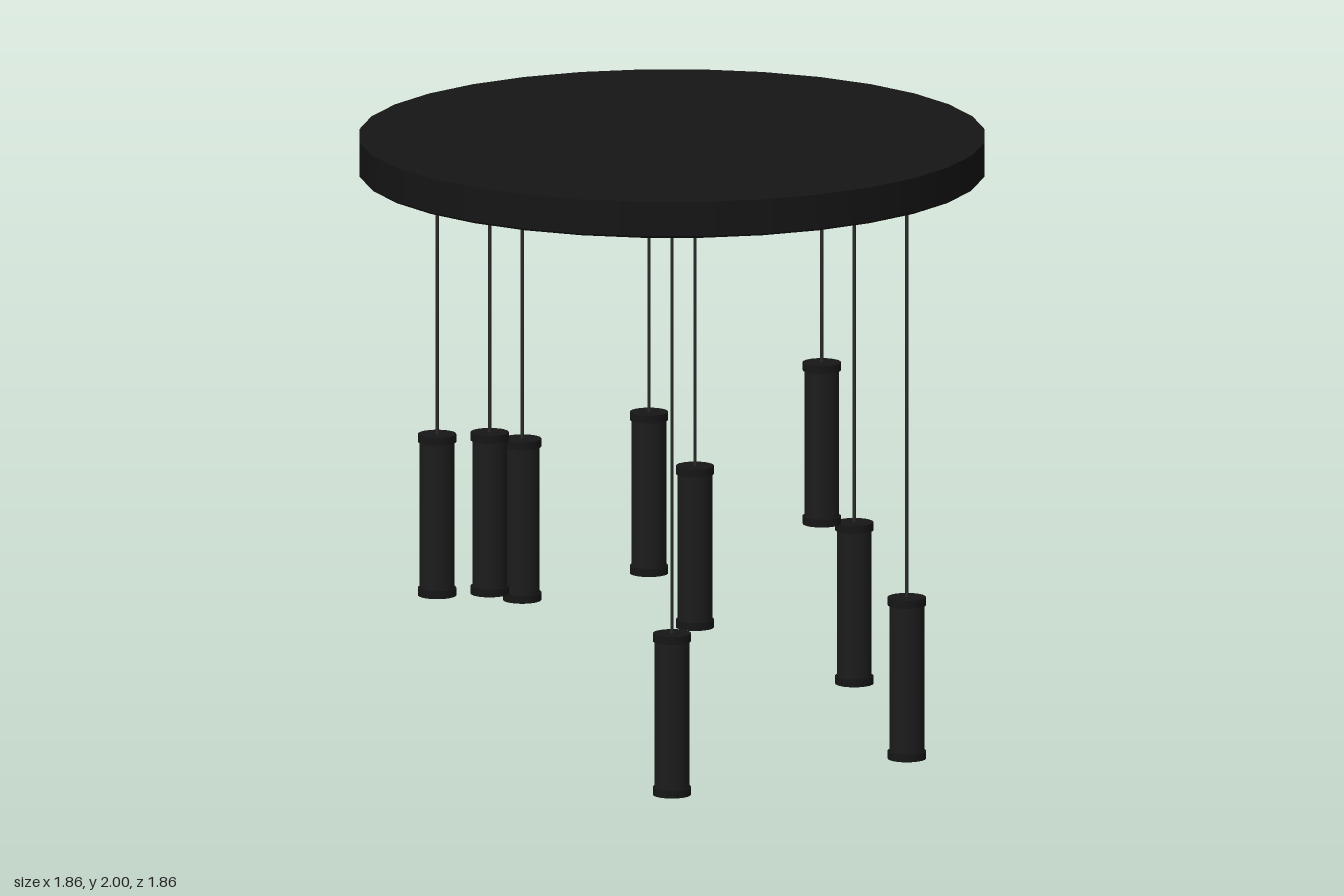
import * as THREE from 'three';

const paint = (color) => new THREE.MeshStandardMaterial({ color });

export function createModel() {
  const model = new THREE.Group();
  model.name = 'pendantCluster';

  const canopyBlack = paint(0x151515);
  const bodyBlack = paint(0x1c1c1c);
  const trimBlack = paint(0x161616);
  const buttonGrey = paint(0x262626);
  const cordGrey = paint(0x2a2a2a);

  const canopyBottom = 1.89;
  const lampLength = 0.49;
  const collarHeight = 0.024;

  const add = (parent, name, geometry, material, y) => {
    const mesh = new THREE.Mesh(geometry, material);
    mesh.name = name;
    mesh.position.y = y;
    parent.add(mesh);
  };

  // Ceiling canopy: a thick disc with a small chamfer under its rim
  add(model, 'canopy', new THREE.CylinderGeometry(0.932, 0.932, 0.104, 32), canopyBlack, 1.948);
  add(model, 'canopyChamfer', new THREE.CylinderGeometry(0.932, 0.926, 0.006, 32), canopyBlack, 1.893);

  // Shapes shared by all the lamps
  const buttonGeo = new THREE.CylinderGeometry(0.057, 0.057, 0.016, 24);
  const collarGeo = new THREE.CylinderGeometry(0.057, 0.057, collarHeight, 24);
  const bodyGeo = new THREE.CylinderGeometry(0.052, 0.052, lampLength - 2 * collarHeight, 24, 1, true);

  // One lamp on its cord, hung with its top at the given height
  const addPendant = (x, z, top) => {
    const pendant = new THREE.Group();
    pendant.name = 'pendant';
    pendant.position.set(x, 0, z);
    const cordLength = canopyBottom - top;
    add(pendant, 'cordButton', buttonGeo, buttonGrey, canopyBottom - 0.008);
    add(pendant, 'cord', new THREE.CylinderGeometry(0.005, 0.005, cordLength, 8, 1, true),
      cordGrey, top + cordLength / 2);
    add(pendant, 'topCollar', collarGeo, trimBlack, top - collarHeight / 2);
    add(pendant, 'lampBody', bodyGeo, bodyBlack, top - lampLength / 2);
    add(pendant, 'bottomCollar', collarGeo, trimBlack, top - lampLength + collarHeight / 2);
    model.add(pendant);
  };

  // Eight lamps spiral down around the ring, the ninth hangs lowest in the centre
  for (let i = 0; i < 8; i++) {
    const angle = (i + 1) * Math.PI / 4;
    addPendant(0.7 * Math.cos(angle), 0.7 * Math.sin(angle), 1.43 - i * 0.1165);
  }
  addPendant(0, 0, lampLength);

  return model;
}
